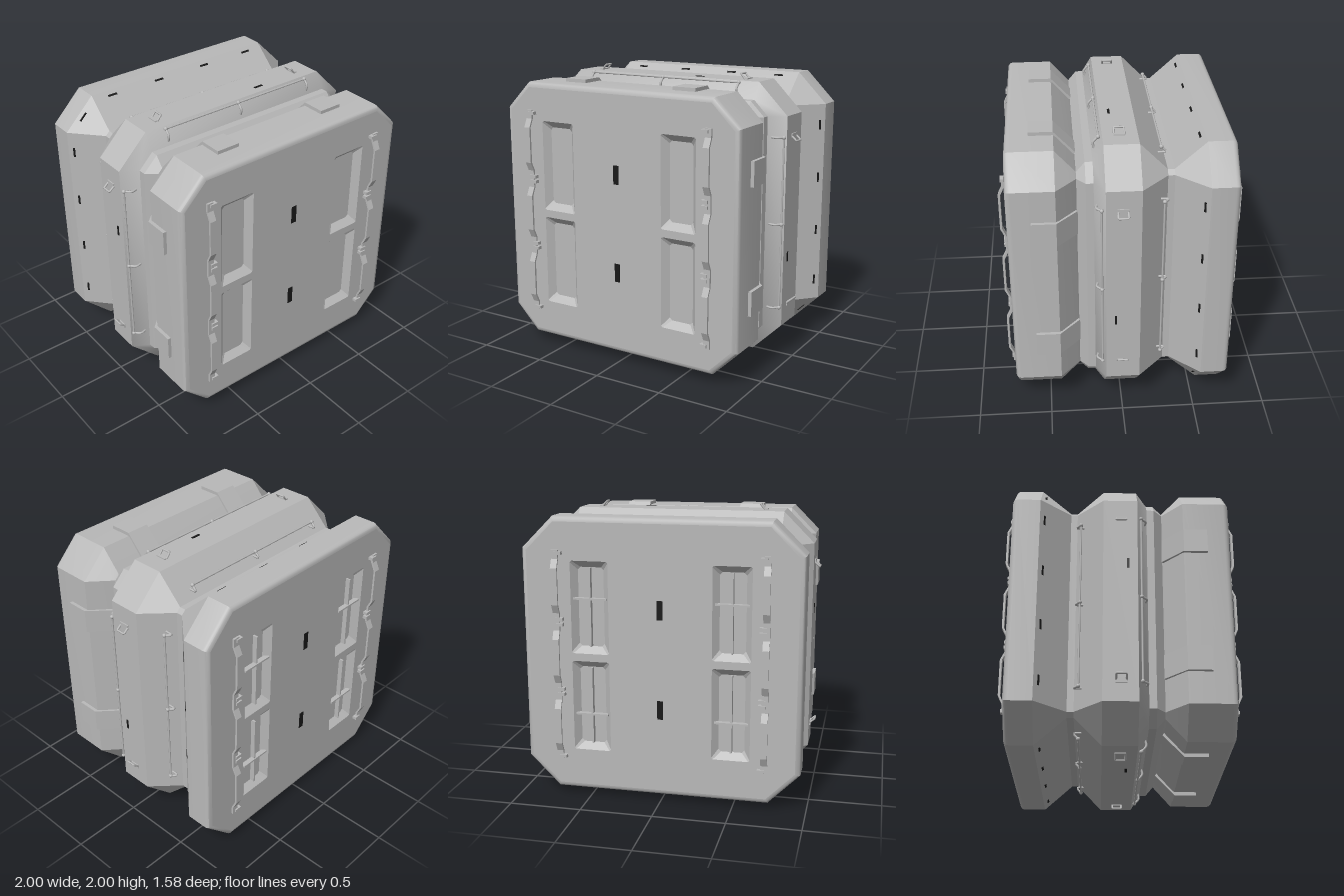
import * as THREE from 'three';
import { toCreasedNormals } from 'three/addons/utils/BufferGeometryUtils.js';

const shell = new THREE.MeshStandardMaterial({ color: 0xb9b9b9 });
shell.name = 'grey shell';
const dark = new THREE.MeshStandardMaterial({ color: 0x181818 });
dark.name = 'black marking';

function add(parent, name, geometry, material = shell) {
  const mesh = new THREE.Mesh(geometry, material);
  mesh.name = name;
  parent.add(mesh);
  return mesh;
}

// Octagon of half width h, with corners at distance c along each side
const octagon = (h, c, x = 0, y = 0, w = h, cw = c) => [
  [w, -c], [w, c], [cw, h], [-cw, h], [-w, c], [-w, -c], [-cw, -h], [cw, -h],
].map(([a, b]) => [a + x, b + y]);

// Skin between rings of [x, y] points; z runs from front to back
function loft(rings, inward = false) {
  const pos = [];
  for (let i = 0; i < rings.length - 1; i++) {
    const [A, B] = [rings[i], rings[i + 1]];
    const n = A.pts.length;
    for (let j = 0; j < n; j++) {
      const k = (j + 1) % n;
      const a = [...A.pts[j], A.z], b = [...A.pts[k], A.z];
      const c = [...B.pts[j], B.z], d = [...B.pts[k], B.z];
      pos.push(...(inward ? [a, b, c, b, d, c] : [a, c, b, b, c, d]).flat());
    }
  }
  const g = new THREE.BufferGeometry();
  g.setAttribute('position', new THREE.Float32BufferAttribute(pos, 3));
  return toCreasedNormals(g, 0.5);
}

const toShape = (pts) => new THREE.Shape(pts.map((p) => new THREE.Vector2(...p)));

// Extrude a [z, y] outline along x, centred on x = 0
function extrudeX(outline, width) {
  const g = new THREE.ExtrudeGeometry(toShape(outline.map(([z, y]) => [-z, y])), { depth: width, bevelEnabled: false });
  return g.translate(0, 0, -width / 2).rotateY(Math.PI / 2);
}

function tube(points, radius, smooth = true) {
  const v = points.map((p) => new THREE.Vector3(...p));
  const path = new THREE.CurvePath();
  if (!smooth) for (let i = 1; i < v.length; i++) path.add(new THREE.LineCurve3(v[i - 1], v[i]));
  return new THREE.TubeGeometry(smooth ? new THREE.CatmullRomCurve3(v) : path, smooth ? 10 : 24, radius, 8);
}

const R = 0.035; // rounding of the outer rims
const CORNER = 0.74;

// Flat end with four recesses and two rails; faces +z
function endFace(h, z, barred) {
  const face = new THREE.Group();
  const cap = toShape(octagon(h - R, CORNER - R * 0.41));
  for (const x of [-0.484, 0.484]) for (const y of [-0.345, 0.345]) {
    const rim = octagon(0.318, 0.308, x, y, 0.131, 0.121);
    const floor = octagon(0.272, 0.254, x, y, 0.089, 0.071);
    cap.holes.push(new THREE.Path(rim.map((p) => new THREE.Vector2(...p))));
    add(face, 'recessWall', loft([{ pts: rim, z }, { pts: floor, z: z - 0.045 }], true));
    add(face, 'recessFloor', new THREE.ShapeGeometry(toShape(floor))).position.z = z - 0.045;
    if (barred) {
      add(face, 'recessUprightBar', new THREE.BoxGeometry(0.012, 0.54, 0.035)).position.set(x, y, z - 0.028);
      add(face, 'recessCrossBar', new THREE.BoxGeometry(0.23, 0.012, 0.035))
        .position.set(x, y + Math.sign(y) * 0.06, z - 0.02);
    }
  }
  add(face, 'endPanel', new THREE.ShapeGeometry(cap)).position.z = z;

  // Wavy ribbon rails in three bows
  const wave = [];
  for (let i = 0; i < 3; i++) {
    const s = -0.735 + i * 0.49;
    wave.push([0.022, s], [0.022, s + 0.06], [0.05, s + 0.12], [0.05, s + 0.37], [0.022, s + 0.43]);
  }
  wave.push([0.022, 0.735]);
  const outline = [...wave, ...wave.map(([d, y]) => [d - 0.014, y]).reverse()];
  for (const s of [-1, 1]) {
    add(face, 'rail', extrudeX(outline, 0.045)).position.set(s * 0.714, 0, z);
    for (const y of [-0.715, -0.263, -0.227, 0.227, 0.263, 0.715])
      add(face, 'railClamp', new THREE.BoxGeometry(0.05, 0.022, 0.034)).position.set(s * 0.692, y, z + 0.015);
  }
  for (const y of [-0.34, 0.35])
    add(face, 'endMarking', new THREE.BoxGeometry(0.04, 0.13, 0.006), dark).position.set(0, y, z + 0.001);
  return face;
}

// Straps, rods, rings and markings on one long side; faces +y
function sideFittings(withCornerMark) {
  const side = new THREE.Group();
  const strap = [[0.58, 0.92], [0.41, 0.92], [0.29, 0.785], [0.28, 0.8], [0.42, 0.95], [0.58, 0.95]];
  for (const s of [-1, 1]) {
    add(side, 'strap', extrudeX(strap, 0.17)).position.x = s * 0.435;
    // Tilted rectangular lashing ring
    add(side, 'lashingRing', tube([
      [s * 0.605, 0.945, 0.033], [s * 0.565, 0.992, 0.033], [s * 0.565, 0.992, -0.033], [s * 0.605, 0.945, -0.033],
    ], 0.007, false));
    add(side, 'ringBase', new THREE.BoxGeometry(0.03, 0.012, 0.075)).position.set(s * 0.6, 0.957, 0);
  }
  // Grab rods on curved hooks
  const hooks = [
    [[0.16, 0.865], [0.168, 0.905], [0.135, 0.945]],
    [[-0.25, 0.82], [-0.3, 0.825], [-0.272, 0.86]],
  ];
  for (const hook of hooks) {
    const [z, y] = hook[2];
    add(side, 'grabRod', new THREE.CylinderGeometry(0.007, 0.007, 1.2, 8).rotateZ(Math.PI / 2)).position.set(0, y, z);
    for (const x of [-0.6, 0, 0.6]) {
      add(side, 'rodHook', tube(hook.map((p) => [x, p[1], p[0]]), 0.008));
      add(side, 'rodKnob', new THREE.SphereGeometry(0.014, 10, 8)).position.set(x, y, z);
    }
  }
  // Small markings
  for (const x of [-0.59, -0.2, 0.2, 0.59]) {
    const mark = add(side, 'slopeMarking', new THREE.BoxGeometry(0.07, 0.006, 0.014), dark);
    mark.position.set(x, 0.929, -0.52);
    mark.rotation.x = 0.73;
  }
  add(side, 'middleMarking', new THREE.BoxGeometry(0.07, 0.006, 0.016), dark).position.set(0.25, 0.956, 0.045);
  if (withCornerMark) {
    const mark = add(side, 'cornerMarking', new THREE.BoxGeometry(0.07, 0.006, 0.014), dark);
    mark.position.set(-0.835, 0.835, -0.52);
    mark.rotation.z = Math.PI / 4;
  }
  return side;
}

export function createModel() {
  const model = new THREE.Group();
  model.name = 'segmentedContainer';
  const body = new THREE.Group();
  body.name = 'body';
  body.position.y = 1.003;
  model.add(body);

  // Octagonal hull: front block, ridged middle block and back block
  const ring = (z, h, inset = 0) => ({ z, pts: octagon(h - inset, CORNER - inset * 0.41) });
  const frontZ = 0.735, backZ = -0.74, frontH = 0.926, backH = 0.956;
  const rim = (z, h, dir) => [0, 1, 2, 3, 4].map((i) => {
    const a = (i / 4) * Math.PI / 2;
    return ring(z - dir * R * (1 - Math.cos(a)), h, R * (1 - Math.sin(a)));
  });
  const middle = [
    [0.42, 0.926], [0.295, 0.785], [0.285, 0.772], [0.228, 0.84], [0.178, 0.842], [0.11, 0.955],
    [-0.12, 0.955], [-0.3, 0.77], [-0.345, 0.77], [-0.55, 0.956],
  ].map(([z, h]) => ring(z, h));
  add(body, 'hull', loft([...rim(frontZ, frontH, 1), ...middle, ...rim(backZ, backH, -1).reverse()]));

  const front = endFace(frontH, frontZ, false);
  front.name = 'frontFace';
  const back = endFace(backH, -backZ, true);
  back.name = 'backFace';
  back.rotation.y = Math.PI;
  body.add(front, back);

  for (let k = 0; k < 4; k++) {
    const side = sideFittings(k % 2 === 0);
    side.name = ['topFittings', 'rightFittings', 'bottomFittings', 'leftFittings'][k];
    side.rotation.z = (k * Math.PI) / 2;
    body.add(side);
  }
  return model;
}
